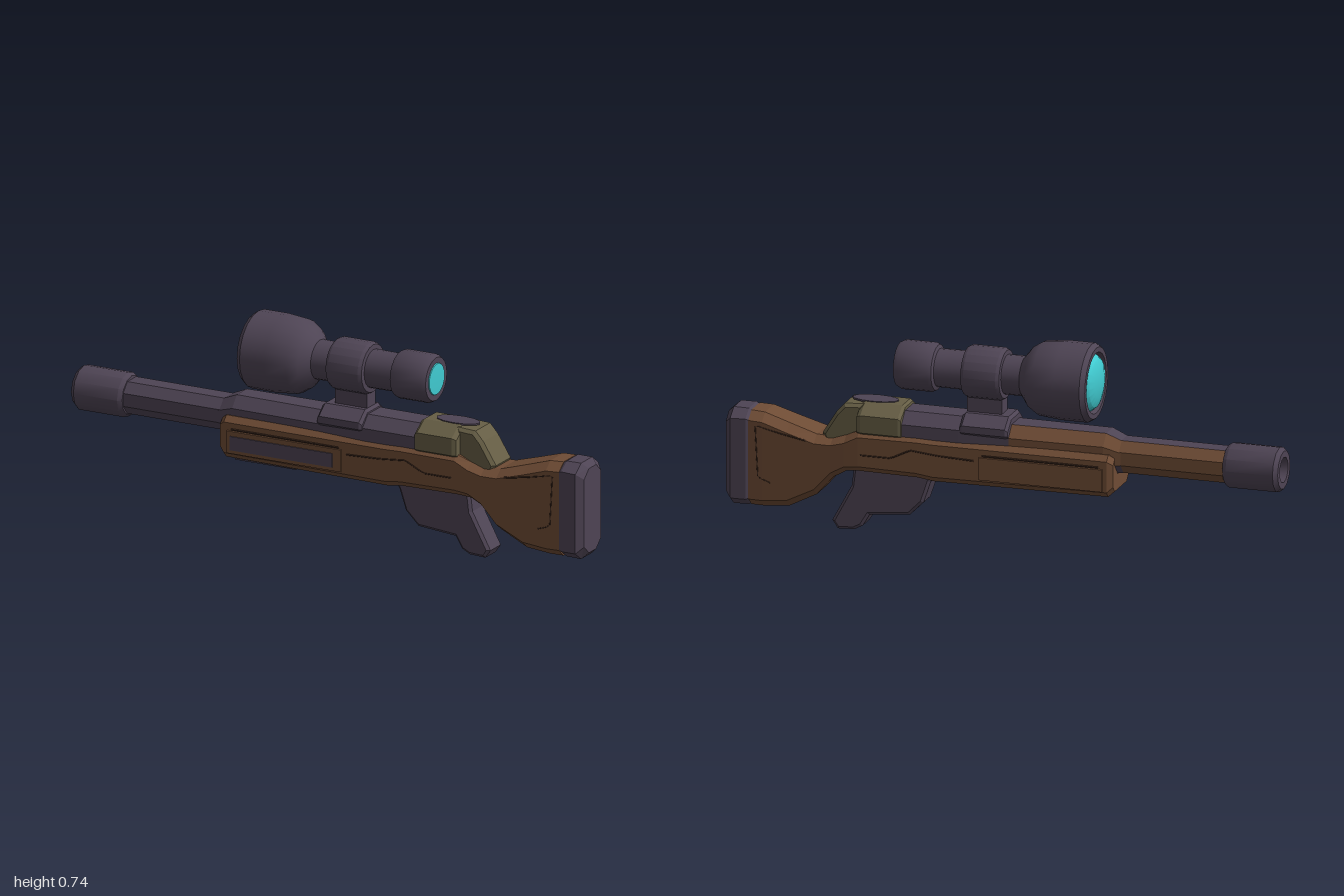
import * as THREE from 'three';
import { toCreasedNormals } from 'three/addons/utils/BufferGeometryUtils.js';

const mat = (name, color) => {
  const m = new THREE.MeshStandardMaterial({ color });
  m.name = name;
  return m;
};

// Chamfered box section swept along x. Station: [x, bottom, top, halfWidth, chamferY, chamferZ].
// Faces listed in `second` go to material slot 1.
function loft(stations, second = []) {
  const rings = stations.map(([x, b, t, w, cy, cz]) => [
    [w, b + cy], [w, t - cy], [w - cz, t], [cz - w, t],
    [-w, t - cy], [-w, b + cy], [cz - w, b], [w - cz, b],
  ].map(([z, y]) => [x, y, z]));
  const slots = [[], []];
  for (let j = 0; j + 1 < rings.length; j++) {
    for (let i = 0; i < 8; i++) {
      const k = (i + 1) % 8;
      const a = rings[j][i], b = rings[j + 1][i], c = rings[j + 1][k], d = rings[j][k];
      slots[second.includes(i) ? 1 : 0].push(...a, ...b, ...c, ...a, ...c, ...d);
    }
  }
  const first = rings[0], last = rings[rings.length - 1];
  for (let i = 1; i < 7; i++) {
    slots[0].push(...first[0], ...first[i], ...first[i + 1]);
    slots[0].push(...last[0], ...last[i + 1], ...last[i]);
  }
  const g = new THREE.BufferGeometry();
  g.setAttribute('position', new THREE.Float32BufferAttribute([...slots[0], ...slots[1]], 3));
  if (second.length) {
    g.addGroup(0, slots[0].length / 3, 0);
    g.addGroup(slots[0].length / 3, slots[1].length / 3, 1);
  }
  g.computeVertexNormals();
  return g;
}

// Round part turned about the x axis. Points are [x, radius].
function turned(points, y, segments = 20) {
  const g = new THREE.LatheGeometry(points.map(([x, r]) => new THREE.Vector2(r, x)), segments);
  g.rotateZ(-Math.PI / 2);
  g.translate(0, y, 0);
  return toCreasedNormals(g, 0.6);
}

// Side outline extruded evenly about z = 0
function slab(outline, halfDepth, bevel, hole) {
  const toV = (p) => p.map(([x, y]) => new THREE.Vector2(x, y));
  const shape = new THREE.Shape(toV(outline));
  if (hole) shape.holes.push(new THREE.Path(toV(hole)));
  const depth = 2 * (halfDepth - bevel);
  const g = new THREE.ExtrudeGeometry(shape, {
    depth, bevelEnabled: true, bevelThickness: bevel, bevelSize: bevel,
    bevelOffset: -bevel, bevelSegments: 1,
  });
  g.translate(0, 0, -depth / 2);
  return g;
}

export function createModel() {
  const dark = mat('dark metal', 0x4e4454);
  const brown = mat('brown wood', 0x6f4c35);
  const groove = mat('groove brown', 0x3d291f);
  const olive = mat('olive', 0x665e45);
  const glass = mat('cyan glass', 0x40cad0);

  const model = new THREE.Group();
  const add = (name, geometry, material) => {
    const m = new THREE.Mesh(geometry, material);
    m.name = name;
    model.add(m);
    return m;
  };
  const box = (name, x0, x1, y0, y1, z0, z1, material) => {
    const g = new THREE.BoxGeometry(x1 - x0, y1 - y0, z1 - z0);
    g.translate((x0 + x1) / 2, (y0 + y1) / 2, (z0 + z1) / 2);
    return add(name, g, material);
  };

  // Muzzle with a hollow bore
  add('muzzle', turned([[-0.92, 0], [-0.92, 0.04], [-1, 0.045], [-1, 0.068], [-0.985, 0.08],
    [-0.815, 0.08], [-0.8, 0.07], [-0.8, 0]], 0.357, 12), dark);

  // Barrel and receiver, wood toned on the right side and below
  add('barrel', loft([
    [-0.82, 0.3, 0.415, 0.062, 0.034, 0.03],
    [-0.42, 0.3, 0.415, 0.062, 0.034, 0.03],
  ], [3, 4, 5, 6]), [dark, brown]);
  add('frontReceiver', loft([
    [-0.43, 0.3, 0.412, 0.062, 0.034, 0.03],
    [-0.37, 0.29, 0.437, 0.072, 0.04, 0.035],
    [-0.03, 0.29, 0.437, 0.078, 0.04, 0.035],
  ], [3, 4]), [dark, brown]);
  add('rearReceiver', loft([
    [-0.03, 0.29, 0.437, 0.078, 0.04, 0.035],
    [0.15, 0.29, 0.45, 0.084, 0.04, 0.04],
    [0.37, 0.29, 0.45, 0.084, 0.04, 0.04],
  ]), dark);

  // Wooden stock from fore-end to butt
  add('stock', loft([
    [-0.41, 0.24, 0.358, 0.084, 0.02, 0.02],
    [-0.39, 0.222, 0.372, 0.095, 0.02, 0.02],
    [0.24, 0.217, 0.372, 0.097, 0.02, 0.02],
    [0.3, 0.225, 0.374, 0.097, 0.02, 0.02],
    [0.51, 0.228, 0.372, 0.097, 0.02, 0.02],
    [0.56, 0.22, 0.348, 0.095, 0.022, 0.03],
    [0.61, 0.19, 0.336, 0.092, 0.024, 0.035],
    [0.67, 0.122, 0.338, 0.09, 0.026, 0.035],
    [0.77, 0.07, 0.368, 0.086, 0.028, 0.035],
    [0.86, 0.06, 0.396, 0.083, 0.028, 0.035],
    [0.91, 0.06, 0.398, 0.08, 0.028, 0.035],
  ]), brown);

  // Rounded butt pad
  add('buttPad', loft([
    [0.905, 0.066, 0.394, 0.075, 0.026, 0.036],
    [0.92, 0.058, 0.402, 0.082, 0.028, 0.04],
    [0.975, 0.056, 0.402, 0.082, 0.03, 0.042],
    [0.998, 0.078, 0.382, 0.06, 0.03, 0.034],
  ]), dark);

  // Raised side rails and the dark inlay on the front side
  for (const s of [1, -1]) {
    const rail = box('sideRail', -0.375, 0.07, 0.245, 0.325, -0.006, 0.006, brown);
    rail.position.z = s * 0.097;
  }
  box('sideInlay', -0.36, 0.04, 0.258, 0.308, 0.1, 0.107, dark);
  box('bottomInlay', -0.36, -0.12, 0.214, 0.222, 0, 0.07, dark);

  // Carved lines on both sides
  const carvings = [
    [[0.09, 0.31], [0.22, 0.315], [0.32, 0.325], [0.39, 0.29], [0.5, 0.29]],
    [[0.7, 0.32], [0.79, 0.335], [0.885, 0.355], [0.875, 0.17], [0.83, 0.155]],
    [[-0.36, 0.33], [0.06, 0.33]],
  ];
  for (const s of [1, -1]) {
    for (const line of carvings) {
      const path = new THREE.CurvePath();
      const pts = line.map(([x, y]) =>
        new THREE.Vector3(x, y, s * (0.096 - 0.042 * Math.max(0, x - 0.51))));
      for (let i = 1; i < pts.length; i++) path.add(new THREE.LineCurve3(pts[i - 1], pts[i]));
      add('carvedLine', new THREE.TubeGeometry(path, 24, 0.0035, 4), groove);
    }
  }

  // Olive rear cover, its sloping tail and the dark patch on top
  add('rearCover', loft([
    [0.355, 0.335, 0.46, 0.094, 0.035, 0.052],
    [0.365, 0.335, 0.467, 0.097, 0.035, 0.054],
    [0.5, 0.335, 0.467, 0.097, 0.035, 0.054],
    [0.515, 0.335, 0.46, 0.09, 0.035, 0.052],
  ]), olive);
  add('coverTail', slab([[0.5, 0.3], [0.5, 0.462], [0.57, 0.458], [0.6, 0.425], [0.65, 0.345],
    [0.63, 0.3]], 0.064, 0.012), olive);
  const patch = new THREE.CylinderGeometry(0.04, 0.04, 0.006, 12);
  patch.scale(2.1, 1, 1);
  patch.translate(0.475, 0.467, 0);
  add('coverPatch', patch, dark);

  // Trigger guard joined to the grip, and the trigger
  add('gripAndGuard', slab([
    [0.24, 0.24], [0.265, 0.2], [0.29, 0.125], [0.34, 0.075], [0.485, 0.062], [0.51, 0.02],
    [0.54, 0.004], [0.6, 0.001], [0.62, 0.03], [0.55, 0.16], [0.54, 0.24],
  ], 0.047, 0.01, [
    [0.325, 0.225], [0.34, 0.16], [0.37, 0.128], [0.45, 0.125], [0.48, 0.165], [0.465, 0.225],
  ]), dark);
  add('trigger', slab([[0.395, 0.235], [0.41, 0.185], [0.38, 0.15], [0.395, 0.138],
    [0.43, 0.165], [0.44, 0.235]], 0.018, 0.004), dark);

  // Scope mount: saddle and stem
  add('mountSaddle', loft([
    [-0.03, 0.37, 0.455, 0.086, 0.035, 0.04],
    [-0.02, 0.37, 0.465, 0.092, 0.035, 0.045],
    [0.135, 0.37, 0.465, 0.092, 0.035, 0.045],
    [0.145, 0.37, 0.455, 0.086, 0.035, 0.04],
  ]), dark);
  box('mountStem', 0.01, 0.135, 0.44, 0.55, -0.03, 0.03, dark);

  // Scope body, clamp ring and lenses
  add('scopeBody', turned([
    [-0.305, 0], [-0.305, 0.1], [-0.322, 0.108], [-0.322, 0.126], [-0.305, 0.138], [-0.21, 0.138],
    [-0.13, 0.13], [-0.095, 0.108], [-0.065, 0.07], [0.245, 0.067], [0.25, 0.08], [0.262, 0.086],
    [0.372, 0.086], [0.388, 0.077], [0.388, 0],
  ], 0.602), dark);
  add('scopeClamp', turned([[0, 0.06], [0.002, 0.085], [0.014, 0.092], [0.13, 0.092],
    [0.142, 0.085], [0.144, 0.06]], 0.602), dark);
  add('frontLens', turned([[-0.34, 0], [-0.336, 0.05], [-0.325, 0.085], [-0.304, 0.102]], 0.602), glass);
  add('rearLens', turned([[0.386, 0.058], [0.391, 0.055], [0.393, 0]], 0.602), glass);

  return model;
}
